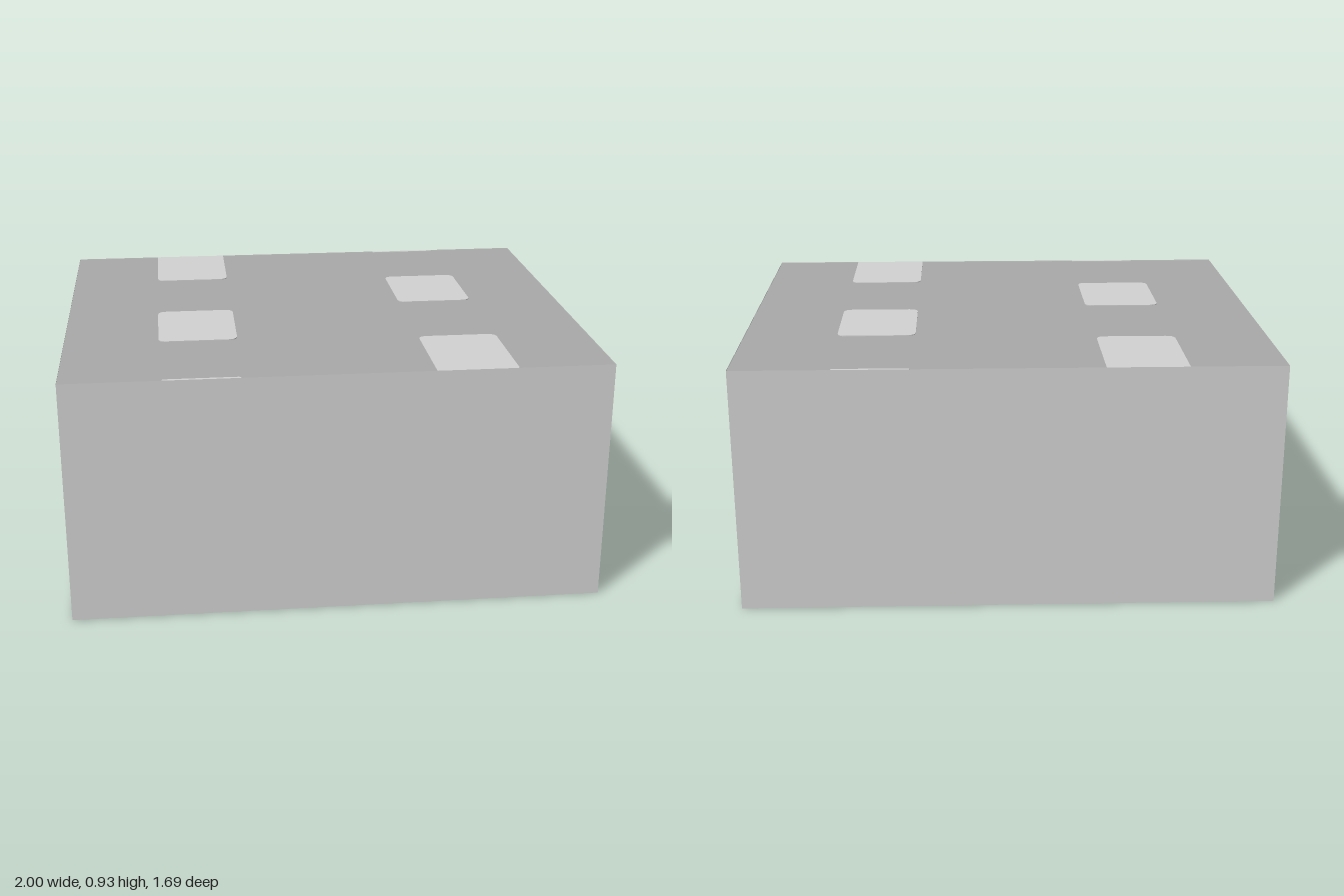
import * as THREE from 'three';

const HX = 1, HZ = 0.845, H = 0.93;

export function createModel() {
  const model = new THREE.Group();
  model.name = 'room';
  const mat = (name, color) => {
    const m = new THREE.MeshStandardMaterial({ color, side: THREE.DoubleSide });
    m.name = name;
    return m;
  };
  const wallPaint = mat('wallPaint', 0xd2d2d2);
  const ceilingGrey = mat('ceilingGrey', 0xa9a9a9);
  const floorBeige = mat('floorBeige', 0xcdc3ad);

  const add = (name, geometry, material, parent = model) => {
    const mesh = new THREE.Mesh(geometry, material);
    mesh.name = name;
    parent.add(mesh);
    return mesh;
  };

  // Floor and ceiling sheets
  add('floor', new THREE.PlaneGeometry(2 * HX, 2 * HZ).rotateX(-Math.PI / 2), floorBeige);
  add('ceiling', new THREE.PlaneGeometry(2 * HX, 2 * HZ).rotateX(-Math.PI / 2), ceilingGrey)
    .position.y = H - 0.003;

  // Plain walls
  const longWall = new THREE.PlaneGeometry(2 * HX, H);
  add('frontWall', longWall, wallPaint).position.set(0, H / 2, HZ);
  const back = add('backWall', longWall, wallPaint);
  back.position.set(0, H / 2, -HZ);
  back.rotation.y = Math.PI;
  const plainSide = add('plainSideWall', new THREE.PlaneGeometry(2 * HZ, H), wallPaint);
  plainSide.position.set(HX, H / 2, 0);
  plainSide.rotation.y = Math.PI / 2;

  // Side wall with a window opening
  const rect = (Type, x0, y0, x1, y1) => new Type([
    new THREE.Vector2(x0, y0), new THREE.Vector2(x1, y0),
    new THREE.Vector2(x1, y1), new THREE.Vector2(x0, y1)]);
  const wallShape = rect(THREE.Shape, -HZ, 0, HZ, H);
  wallShape.holes.push(rect(THREE.Path, -0.43, 0.213, 0.43, 0.67));
  const windowWall = add('windowWall', new THREE.ShapeGeometry(wallShape), wallPaint);
  windowWall.position.x = -HX;
  windowWall.rotation.y = -Math.PI / 2;

  // Ceiling light panels: thin plates showing on both faces of the ceiling.
  // Corner radii: r0 at the z0 end, r1 at the z1 end.
  const panels = new THREE.Group();
  panels.name = 'lightPanels';
  model.add(panels);
  const panelGeometry = (w, z0, z1, r0, r1) => {
    const s = new THREE.Shape();
    const h = w / 2;
    s.moveTo(-h + r0, z0);
    s.lineTo(h - r0, z0);
    s.quadraticCurveTo(h, z0, h, z0 + r0);
    s.lineTo(h, z1 - r1);
    s.quadraticCurveTo(h, z1, h - r1, z1);
    s.lineTo(-h + r1, z1);
    s.quadraticCurveTo(-h, z1, -h, z1 - r1);
    s.lineTo(-h, z0 + r0);
    s.quadraticCurveTo(-h, z0, -h + r0, z0);
    return new THREE.ExtrudeGeometry(s, { depth: 0.006, bevelEnabled: false, curveSegments: 5 })
      .rotateX(Math.PI / 2);
  };
  // The pattern repeats under a half turn about the vertical axis
  for (const turn of [0, Math.PI]) {
    const half = new THREE.Group();
    half.name = 'panelSet';
    half.rotation.y = turn;
    panels.add(half);
    for (const [x, w, z0, z1, r0, r1] of [
      [0.495, 0.3, -0.405, -0.02, 0.035, 0.035],
      [0.495, 0.3, 0.445, HZ, 0.035, 0.006],
      [0.495, 0.28, -HZ, -0.832, 0.003, 0.01],
    ]) {
      add('lightPanel', panelGeometry(w, z0, z1, r0, r1), wallPaint, half).position.set(x, H, 0);
    }
  }
  return model;
}
